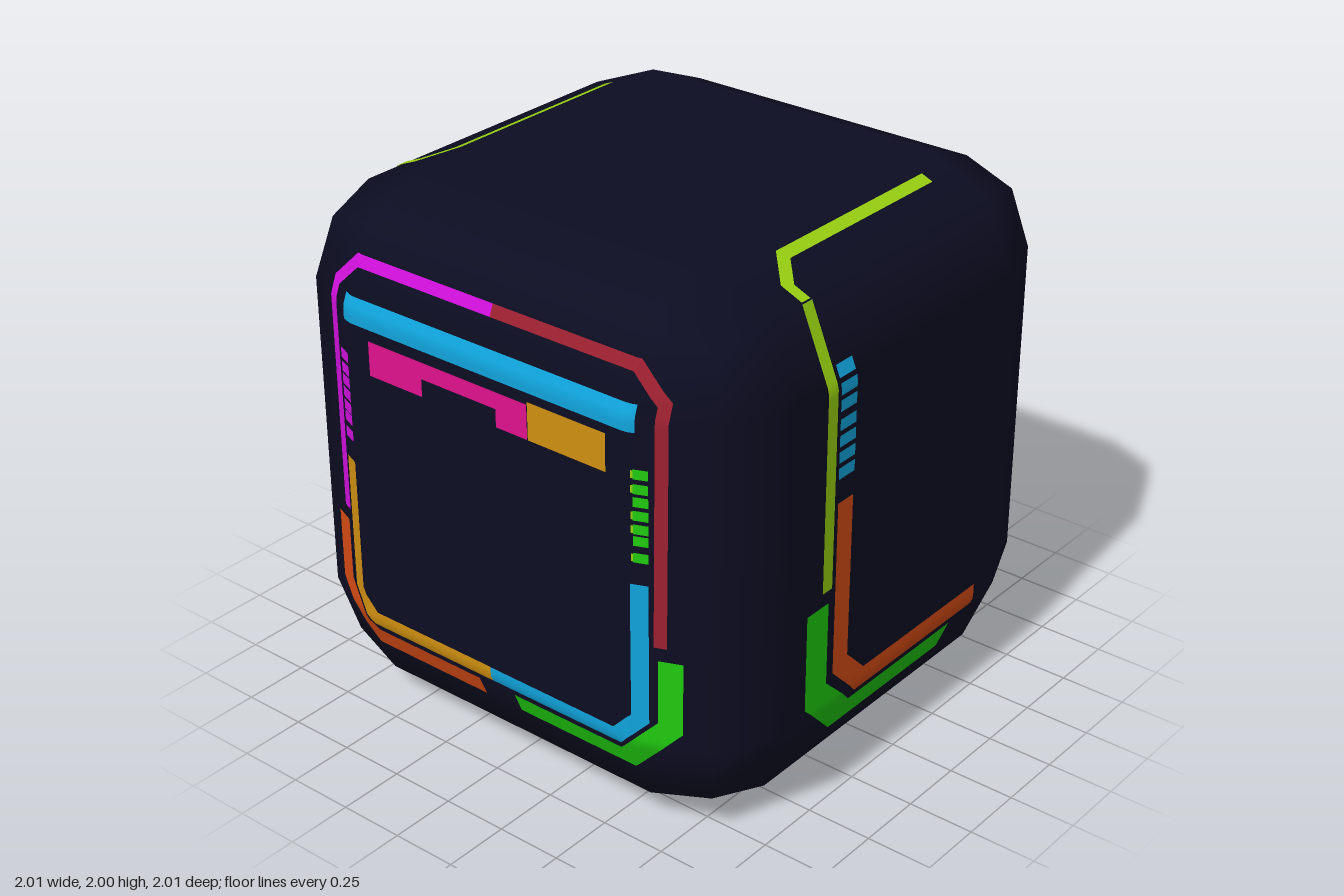
import * as THREE from 'three';
import { RoundedBoxGeometry } from 'three/addons/geometries/RoundedBoxGeometry.js';

const paint = (name, color) => new THREE.MeshStandardMaterial({ name, color, side: THREE.DoubleSide });

// Each face maps flat coordinates (u, v) to a point, at depth d along its axis
const FACES = {
  front: (u, v, d) => new THREE.Vector3(u, v, d),
  back: (u, v, d) => new THREE.Vector3(u, v, -d),
  left: (u, v, d) => new THREE.Vector3(d, v, u),
  right: (u, v, d) => new THREE.Vector3(-d, v, u),
  top: (u, v, d) => new THREE.Vector3(u, 1 + d, v),
};

export function createModel() {
  const group = new THREE.Group();
  const navy = new THREE.MeshStandardMaterial({ name: 'midnight navy', color: 0x0d0d23 });
  const magenta = paint('magenta', 0xd010dc);
  const pink = paint('hot pink', 0xe0108c);
  const blue = paint('sky blue', 0x10a4dc);
  const orange = paint('orange', 0xd64c14);
  const green = paint('green', 0x20cc10);
  const lime = paint('lime', 0x98d010);
  const amber = paint('amber', 0xd09010);
  const red = paint('dark red', 0x9c2030);

  // Soft-cornered cube
  const body = new THREE.Mesh(new RoundedBoxGeometry(2, 2, 2, 1, 0.39), navy);
  body.name = 'body';
  body.position.y = 1;
  body.updateMatrixWorld(true);
  group.add(body);

  // Drop a flat point onto the body, lifted slightly off its surface
  const ray = new THREE.Raycaster();
  const project = (face, u, v) => {
    const at = FACES[face];
    const origin = at(u + 0.00013, v + 0.00017, 3);
    const dir = at(0, 0, -1).sub(at(0, 0, 0));
    ray.set(origin, dir);
    const hit = ray.intersectObject(body)[0];
    return hit ? hit.point.addScaledVector(hit.face.normal, 0.004) : at(u, v, 0.89);
  };

  // Painted ribbon with mitred corners that follows the body
  function strip(name, face, material, width, path) {
    const pts = path.map(([x, y]) => new THREE.Vector2(x, y));
    const sides = pts.map((p, i) => {
      const a = pts[Math.max(i - 1, 0)], b = pts[Math.min(i + 1, pts.length - 1)];
      const d1 = (i ? p.clone().sub(a) : b.clone().sub(p)).normalize();
      const d2 = (i < pts.length - 1 ? b.clone().sub(p) : d1.clone()).normalize();
      const n1 = new THREE.Vector2(-d1.y, d1.x);
      const n = n1.clone().add(new THREE.Vector2(-d2.y, d2.x)).normalize();
      n.multiplyScalar(width / 2 / n.dot(n1));
      return [p.clone().add(n), p.clone().sub(n)];
    });
    const position = [], index = [];
    const across = Math.max(1, Math.ceil(width / 0.022));
    for (let s = 0; s < pts.length - 1; s++) {
      const along = Math.max(1, Math.ceil(pts[s].distanceTo(pts[s + 1]) / 0.022));
      const start = position.length / 3;
      for (let i = 0; i <= along; i++) {
        const l = sides[s][0].clone().lerp(sides[s + 1][0], i / along);
        const r = sides[s][1].clone().lerp(sides[s + 1][1], i / along);
        for (let j = 0; j <= across; j++) {
          const p = l.clone().lerp(r, j / across);
          position.push(...project(face, p.x, p.y).toArray());
          if (i < along && j < across) {
            const k = start + i * (across + 1) + j, m = k + across + 1;
            index.push(k, k + 1, m, k + 1, m + 1, m);
          }
        }
      }
    }
    const geometry = new THREE.BufferGeometry();
    geometry.setAttribute('position', new THREE.Float32BufferAttribute(position, 3));
    geometry.setIndex(index);
    geometry.computeVertexNormals();
    const mesh = new THREE.Mesh(geometry, material);
    mesh.name = name;
    group.add(mesh);
  }
  const rect = (name, face, mat, x0, x1, y0, y1) =>
    strip(name, face, mat, y1 - y0, [[x0, (y0 + y1) / 2], [x1, (y0 + y1) / 2]]);

  // Front frame: upper brackets, inner and outer lower brackets
  strip('upperFrameRight', 'front', magenta, 0.042, [[-0.725, 0.78], [-0.725, 1.665], [-0.615, 1.768], [-0.005, 1.768]]);
  strip('upperFrameLeft', 'front', red, 0.042, [[0.715, 0.78], [0.722, 1.665], [0.612, 1.768], [-0.005, 1.768]]);
  strip('innerFrameRight', 'front', amber, 0.06, [[-0.662, 1.01], [-0.662, 0.49], [-0.57, 0.395], [-0.01, 0.395]]);
  strip('innerFrameLeft', 'front', blue, 0.058, [[0.65, 1.01], [0.65, 0.49], [0.56, 0.395], [-0.01, 0.395]]);
  strip('outerFrameRight', 'front', orange, 0.08, [[-0.762, 0.73], [-0.762, 0.47], [-0.59, 0.297], [-0.085, 0.297]]);
  strip('outerFrameLeft', 'front', green, 0.08, [[0.747, 0.73], [0.747, 0.47], [0.582, 0.297], [0.08, 0.297]]);

  // Front display bars
  rect('topBar', 'front', blue, -0.645, 0.64, 1.563, 1.655);
  rect('pinkBar', 'front', pink, -0.52, 0.197, 1.457, 1.52);
  rect('pinkBarFoot', 'front', pink, -0.52, -0.275, 1.39, 1.457);
  rect('pinkBarFoot', 'front', pink, 0.06, 0.197, 1.39, 1.457);
  rect('amberBar', 'front', amber, 0.2, 0.53, 1.39, 1.53);

  // Front tick columns
  [1.415, 1.362, 1.315, 1.265, 1.215, 1.172, 1.11].forEach((y, i) => {
    rect('frontTick', 'front', magenta, -0.69, -0.633, y - 0.02, y + 0.02);
    rect('frontTick', 'front', green, 0.632, 0.68, y - 0.018, y + 0.018);
    if (i % 3 !== 2) rect('frontTickTip', 'front', lime, 0.625, 0.632, y - 0.014, y + 0.014);
  });

  // Both sides
  for (const [face, s] of [['left', 1], ['right', -1]]) {
    strip('sideLine', face, lime, 0.052, [[0.44, 0.86], [0.44, 1.884]]);
    strip('topLine', 'top', lime, 0.045, [[s * 0.884, 0.44], [s * 0.81, 0.44], [s * 0.712, 0.335], [s * 0.712, -0.478]]);
    strip('sideInnerBracket', face, orange, 0.083, [[0.354, 1.175], [0.354, 0.53], [0.23, 0.406], [-0.475, 0.406]]);
    strip('sideOuterBracket', face, green, 0.118, [[0.49, 0.81], [0.49, 0.465], [0.285, 0.272], [-0.357, 0.272]]);
    for (const y of [1.652, 1.594, 1.535, 1.465, 1.405, 1.345, 1.285])
      rect('sideTick', face, blue, 0.31, 0.397, y - 0.021, y + 0.021);
  }

  // Back panel outline
  rect('backTopLine', 'back', lime, -0.6, 0.6, 1.705, 1.722);
  rect('backBottomLine', 'back', blue, -0.52, -0.03, 0.365, 0.39);
  rect('backBottomLine', 'back', blue, 0.03, 0.52, 0.365, 0.39);
  for (const s of [1, -1]) {
    strip('backCornerLine', 'back', lime, 0.025, [[s * 0.6, 1.713], [s * 0.665, 1.69], [s * 0.745, 1.59], [s * 0.745, 1.3]]);
    strip('backSideLine', 'back', red, 0.045, [[s * 0.6, 1.62], [s * 0.648, 1.55], [s * 0.648, 0.48], [s * 0.57, 0.418]]);
    rect('backBottomRedLine', 'back', red, s * 0.16, s * 0.57, 0.41, 0.428);
    rect('backBlock', 'back', lime, s * 0.675, s * 0.755, 1.2, 1.28);
    strip('backAmberLine', 'back', amber, 0.025, [[s * 0.69, 1.2], [s * 0.69, 0.68]]);
    strip('backPinkBlock', 'back', pink, 0.045, [[s * 0.705, 0.68], [s * 0.705, 0.44]]);
    strip('backFoot', 'back', lime, 0.045, [[s * 0.71, 0.43], [s * 0.64, 0.365], [s * 0.55, 0.365]]);
    // Slanted ticks under the top line
    for (let i = 0; i < 7; i++) {
      const x = s * (0.25 + i * 0.055);
      strip('backTick', 'back', i % 2 ? blue : magenta, 0.036, [[x - 0.008, 1.625], [x + 0.008, 1.69]]);
    }
  }
  return group;
}
